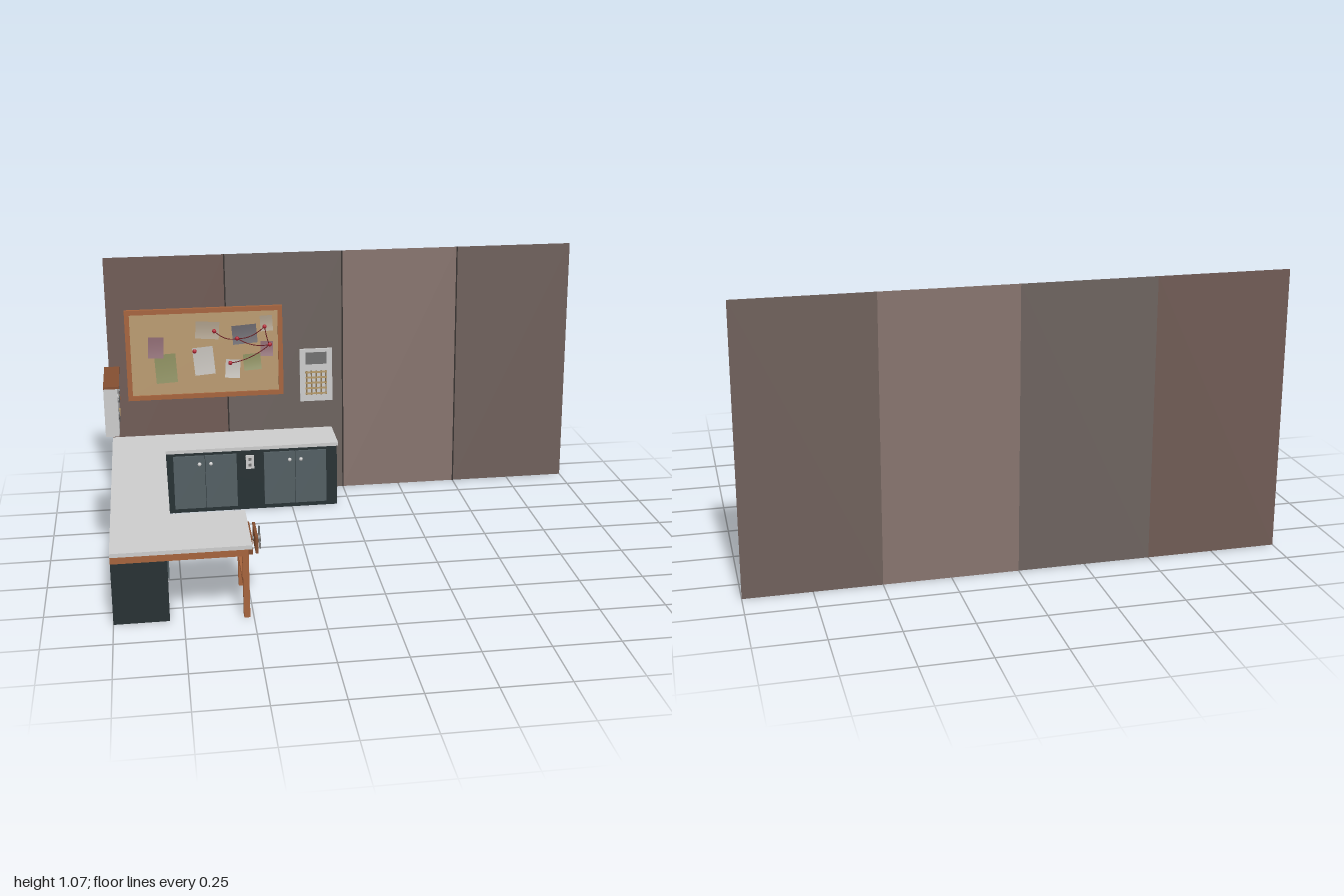
import * as THREE from 'three';

const mats = {};
const mat = (color) => (mats[color] ??= new THREE.MeshStandardMaterial({ color, side: THREE.DoubleSide }));
const GREY = 0xcccccc, DARK = 0x263033, DOOR = 0x525e62, WOOD = 0xa5633c, BROWN = 0x834e30, METAL = 0x707070, TAN = 0xb59a6a;

function add(parent, name, geo, color, x = 0, y = 0, z = 0) {
  const m = new THREE.Mesh(geo, mat(color));
  m.name = name;
  m.position.set(x, y, z);
  parent.add(m);
  return m;
}

// Box given by its lower and upper limits on each axis
function box(parent, name, color, x0, x1, y0, y1, z0, z1) {
  return add(parent, name, new THREE.BoxGeometry(x1 - x0, y1 - y0, z1 - z0), color,
    (x0 + x1) / 2, (y0 + y1) / 2, (z0 + z1) / 2);
}

// Round disc whose axis points along +z
function disc(parent, name, color, r, depth, x, y, z, sides = 24) {
  const m = add(parent, name, new THREE.CylinderGeometry(r, r, depth, sides), color, x, y, z);
  m.rotation.x = Math.PI / 2;
  return m;
}

function group(parent, name, x = 0, y = 0, z = 0, ry = 0) {
  const g = new THREE.Group();
  g.name = name;
  g.position.set(x, y, z);
  g.rotation.y = ry;
  parent.add(g);
  return g;
}

// Floor outline (x, z pairs) raised from y to y + h
function slab(parent, name, color, pts, y, h) {
  const shape = new THREE.Shape(pts.map(([x, z]) => new THREE.Vector2(x, -z)));
  const geo = new THREE.ExtrudeGeometry(shape, { depth: h, bevelEnabled: false }).rotateX(-Math.PI / 2);
  return add(parent, name, geo, color, 0, y, 0);
}

// Two cupboard doors with knobs, facing local +z
function doorPair(parent, x, z, ry) {
  const g = group(parent, 'doorPair', x, 0, z, ry);
  for (const s of [-1, 1]) {
    const d = box(g, 'door', DOOR, 0.001, 0.133, 0.02, 0.255, 0, 0.008);
    d.position.x *= s;
    add(g, 'knob', new THREE.SphereGeometry(0.008, 12, 8), GREY, s * 0.024, 0.22, 0.014);
  }
}

// Sheet of paper, slightly curled away from the board
function paper(parent, color, x0, x1, y0, y1, tilt) {
  const w = x1 - x0, h = y1 - y0;
  const geo = new THREE.PlaneGeometry(w, h, 2, 6);
  const p = geo.attributes.position;
  for (let i = 0; i < p.count; i++) p.setZ(i, 0.009 * (0.5 - p.getY(i) / h) ** 2);
  geo.computeVertexNormals();
  const m = add(parent, 'paper', geo, color, (x0 + x1) / 2, (y0 + y1) / 2, -0.612);
  m.rotation.z = tilt;
  return m;
}

function buildWall(root) {
  const g = group(root, 'wall');
  [0x6f5a54, 0x6c625e, 0x86736d, 0x6e5f5a].forEach((c, i) => {
    const x = -1 + i * 0.5;
    add(g, 'wallPanel', new THREE.PlaneGeometry(0.5, 1.07), c, x + 0.25, 0.535, -0.625);
    if (i) add(g, 'panelSeam', new THREE.PlaneGeometry(0.006, 1.07), 0x35302e, x, 0.535, -0.6245);
  });
}

function buildCabinets(root) {
  const g = group(root, 'cabinets');
  slab(g, 'cabinetBody', DARK,
    [[-1, -0.624], [-0.055, -0.624], [-0.055, -0.42], [-0.8, -0.42], [-0.8, 0.6], [-1, 0.6]], 0, 0.27);
  slab(g, 'countertop', GREY,
    [[-1, -0.624], [-0.05, -0.624], [-0.05, -0.41], [-0.78, -0.41], [-0.78, 0.29], [-0.5, 0.29], [-0.5, 0.625], [-1, 0.625]],
    0.27, 0.015);
  for (const x of [-0.617, -0.235]) doorPair(g, x, -0.42, 0);
  for (const z of [0.147, -0.236]) doorPair(g, -0.8, z, Math.PI / 2);
  // Socket plate between the back doors
  box(g, 'socketPlate', GREY, -0.445, -0.41, 0.185, 0.245, -0.42, -0.414);
  for (const y of [0.202, 0.228]) box(g, 'socket', METAL, -0.434, -0.421, y - 0.006, y + 0.006, -0.414, -0.412);
}

function buildWorkbench(root) {
  const g = group(root, 'workbench');
  for (const z of [0.313, 0.583]) {
    box(g, 'leg', WOOD, -0.535, -0.513, 0, 0.27, z, z + 0.031);
    box(g, 'longRail', WOOD, z > 0.5 ? -1 : -0.8, -0.513, 0.24, 0.27, z + 0.005, z + 0.03);
  }
  box(g, 'endRail', WOOD, -0.535, -0.515, 0.237, 0.27, 0.34, 0.59);
  box(g, 'stretcher', WOOD, -0.533, -0.517, 0.105, 0.121, 0.34, 0.59);

  // Vise with two jaws, a screw and a three-armed handle
  const v = group(g, 'vise', -0.5, 0.243, 0.463, Math.PI / 2);
  box(v, 'fixedJaw', BROWN, -0.078, 0.078, -0.03, 0.033, -0.012, 0.007);
  box(v, 'movingJaw', BROWN, -0.072, 0.072, -0.03, 0.033, 0.018, 0.028);
  disc(v, 'screw', METAL, 0.007, 0.06, 0, 0, 0.012, 12);
  disc(v, 'handleHub', METAL, 0.015, 0.012, 0, 0, 0.036, 16);
  for (let i = 0; i < 3; i++) {
    const a = Math.PI / 2 + i * Math.PI * 2 / 3;
    const arm = add(v, 'handleArm', new THREE.CylinderGeometry(0.0035, 0.0035, 0.045, 8), METAL,
      Math.cos(a) * 0.024, Math.sin(a) * 0.024, 0.037);
    arm.rotation.z = a - Math.PI / 2;
  }
}

function buildRecorder(root) {
  // Built facing local +z, local x runs towards the wall
  const g = group(root, 'tapeRecorder', -1, 0, 0, Math.PI / 2);
  box(g, 'recorderCase', GREY, -0.205, 0.05, 0.572, 0.757, 0, 0.05);
  box(g, 'recorderLid', BROWN, -0.21, 0.055, 0.757, 0.766, 0, 0.057);
  disc(g, 'reel', METAL, 0.046, 0.006, -0.043, 0.7, 0.051, 32);
  for (let i = 0; i < 3; i++) {
    const a = Math.PI / 2 + i * Math.PI * 2 / 3;
    add(g, 'reelWindow', new THREE.RingGeometry(0.013, 0.037, 8, 1, a - 0.36, 0.72), GREY, -0.043, 0.7, 0.0545);
  }
  disc(g, 'reelHub', METAL, 0.006, 0.004, -0.043, 0.7, 0.055, 16);
  for (const [x, y, r, c] of [[-0.164, 0.715, 0.01, 0xb4b4b4], [-0.144, 0.7, 0.01, 0xb4b4b4],
    [-0.15, 0.64, 0.018, METAL], [-0.113, 0.618, 0.018, METAL], [0.025, 0.648, 0.017, TAN]])
    disc(g, 'dial', c, r, 0.005, x, y, 0.051);
  box(g, 'dialPointer', BROWN, 0.012, 0.038, 0.645, 0.65, 0.052, 0.055);
  for (let i = 0; i < 4; i++) box(g, 'button', TAN, -0.055 + i * 0.008, -0.05 + i * 0.008, 0.602, 0.626, 0.05, 0.054);
}

function buildBoard(root) {
  const g = group(root, 'pinboard');
  box(g, 'cork', 0xb99a70, -0.91, -0.275, 0.465, 0.83, -0.624, -0.615);
  for (const x of [-0.925, -0.28]) box(g, 'frameSide', WOOD, x, x + 0.02, 0.45, 0.845, -0.624, -0.607);
  for (const y of [0.45, 0.825]) box(g, 'frameBar', WOOD, -0.905, -0.28, y, y + 0.02, -0.624, -0.607);

  const sheets = [
    [0x8e9060, -0.805, -0.715, 0.525, 0.65, 0.05], [0x8e6a72, -0.832, -0.767, 0.635, 0.725, -0.05],
    [0xa89a86, -0.63, -0.53, 0.712, 0.785, -0.08], [0x67646a, -0.475, -0.37, 0.685, 0.765, 0.07],
    [0xa89a86, -0.355, -0.302, 0.737, 0.803, 0.04], [0x8e9060, -0.43, -0.355, 0.567, 0.637, 0.06],
    [0x8e6a72, -0.356, -0.302, 0.625, 0.69, -0.04], [0xc4c0ba, -0.642, -0.555, 0.555, 0.675, 0.08],
    [0xc4c0ba, -0.508, -0.445, 0.535, 0.615, -0.08]];
  sheets.forEach((s, i) => { paper(g, ...s).position.z += i * 0.0002; });

  // Pins and the sagging strings between them
  const pins = [[-0.551, 0.745], [-0.455, 0.709], [-0.337, 0.757], [-0.316, 0.677], [-0.637, 0.66], [-0.487, 0.602]];
  for (const [x, y] of pins) add(g, 'pin', new THREE.SphereGeometry(0.009, 10, 8), 0xb02030, x, y, -0.602);
  for (const [a, b] of [[0, 1], [1, 2], [1, 3], [5, 3], [2, 3]]) {
    const [p, q] = [pins[a], pins[b]];
    const curve = new THREE.QuadraticBezierCurve3(
      new THREE.Vector3(...p, -0.602),
      new THREE.Vector3((p[0] + q[0]) / 2, (p[1] + q[1]) / 2 - 0.03, -0.6),
      new THREE.Vector3(...q, -0.602));
    add(g, 'string', new THREE.TubeGeometry(curve, 12, 0.002, 5), 0x6a1c22);
  }
}

function buildCalendar(root) {
  const g = group(root, 'wallCalendar');
  box(g, 'sheet', GREY, -0.187, -0.046, 0.41, 0.645, -0.624, -0.615);
  box(g, 'pictureArea', METAL, -0.162, -0.07, 0.577, 0.63, -0.615, -0.613);
  // Ruled grid
  for (let i = 0; i < 5; i++) {
    const x = -0.158 + i * 0.021, y = 0.445 + i * 0.024;
    box(g, 'gridColumn', 0x8a7350, x - 0.003, x + 0.003, 0.438, 0.548, -0.615, -0.613);
    box(g, 'gridRow', TAN, -0.164, -0.07, y - 0.004, y + 0.004, -0.615, -0.6125);
  }
}

export function createModel() {
  const root = new THREE.Group();
  root.name = 'workshopCorner';
  for (const build of [buildWall, buildCabinets, buildWorkbench, buildRecorder, buildBoard, buildCalendar]) build(root);
  return root;
}
